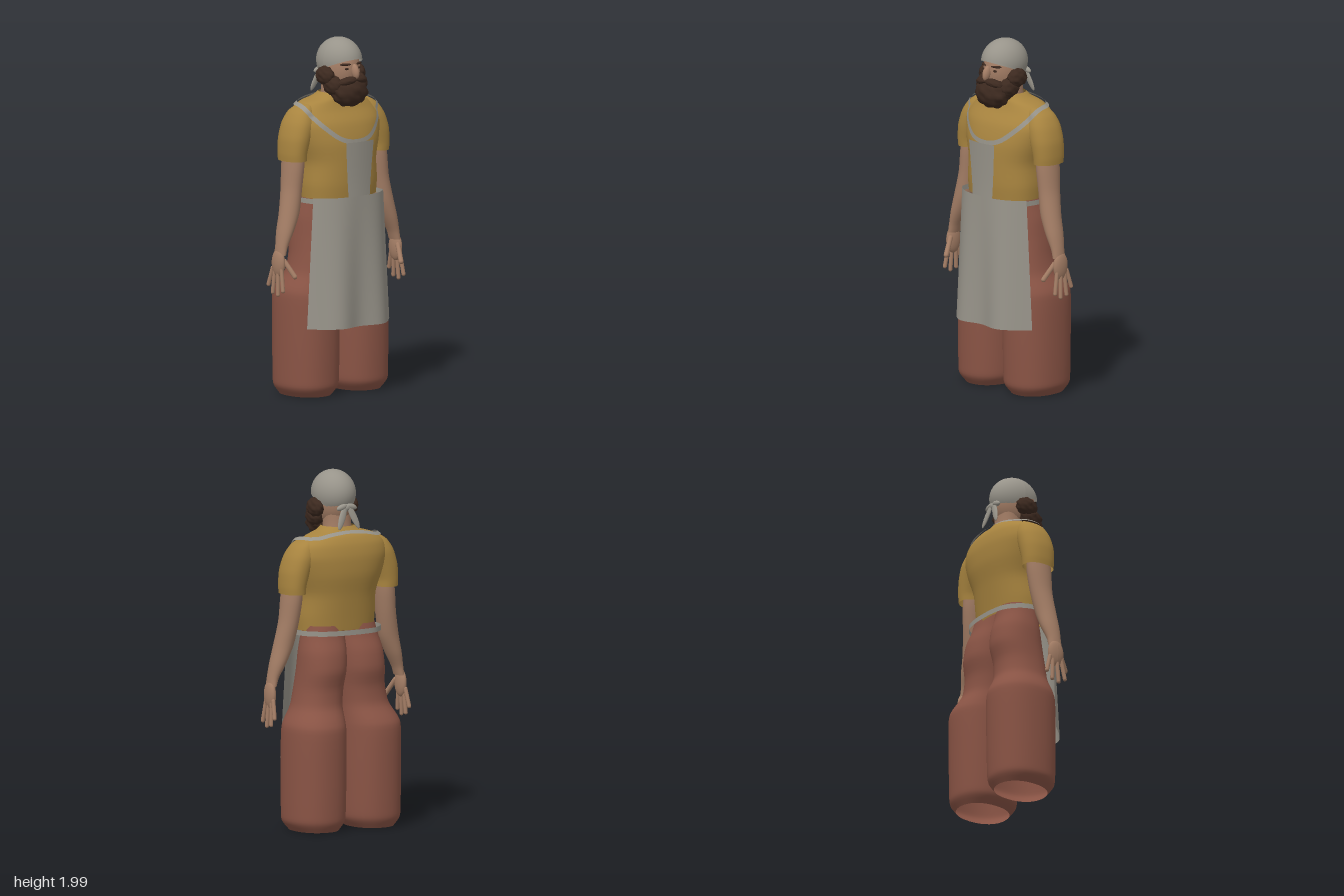
import * as THREE from 'three';

const V = (x, y, z) => new THREE.Vector3(x, y, z);

export function createModel() {
  const model = new THREE.Group();
  const mat = (name, color, open) => new THREE.MeshStandardMaterial({ name, color, side: open ? THREE.DoubleSide : THREE.FrontSide });
  const red = mat('brick red cloth', 0x8a5445, true);
  const ochre = mat('ochre cloth', 0xa8843f, true);
  const grey = mat('grey linen', 0x98948a, true);
  const skin = mat('skin', 0xa37d65);
  const brown = mat('dark brown hair', 0x3c291f);

  const add = (name, geo, material, parent = model) => {
    const m = new THREE.Mesh(geo, material);
    m.name = name;
    parent.add(m);
    return m;
  };
  const surface = (pos, idx) => {
    const g = new THREE.BufferGeometry();
    g.setAttribute('position', new THREE.Float32BufferAttribute(pos, 3));
    g.setIndex(idx);
    g.computeVertexNormals();
    return g;
  };

  // Smooth tube through rising cross-sections [y, centreX, radiusX, backZ, frontZ]
  const loft = (rows, s = 1, power = 2.2, n = 32) => {
    const a = new THREE.CatmullRomCurve3(rows.map(r => V(r[0], r[1], r[2])), false, 'catmullrom', 0.4);
    const b = new THREE.CatmullRomCurve3(rows.map(r => V(r[0], r[3], r[4])), false, 'catmullrom', 0.4);
    const steps = (rows.length - 1) * 4, pos = [], idx = [];
    const bend = c => Math.sign(c) * Math.abs(c) ** (2 / power);
    for (let j = 0; j <= steps; j++) {
      const p = a.getPoint(j / steps), q = b.getPoint(j / steps);
      for (let i = 0; i < n; i++) {
        const t = i / n * Math.PI * 2;
        pos.push(s * p.y + p.z * bend(Math.cos(t)), p.x, (q.y + q.z) / 2 + (q.z - q.y) / 2 * bend(Math.sin(t)));
        if (j === steps) continue;
        const k = j * n + i, r = j * n + (i + 1) % n;
        idx.push(k, k + n, r, r, k + n, r + n);
      }
    }
    return surface(pos, idx);
  };

  // Flat band along points, widened along one direction per point
  const ribbon = (pts, sides, width) => {
    const pos = [], idx = [];
    pts.forEach((p, i) => {
      for (const k of [-0.5, 0.5]) pos.push(...p.clone().addScaledVector(sides[i], k * width).toArray());
      if (i) idx.push(2 * i - 2, 2 * i, 2 * i - 1, 2 * i - 1, 2 * i, 2 * i + 1);
    });
    return surface(pos, idx);
  };

  // Ellipsoid, optionally lumpy
  const blob = (rx, ry, rz, lump = 0) => {
    const g = new THREE.SphereGeometry(1, 28, 20), p = g.attributes.position;
    for (let i = 0; i < p.count; i++) {
      const v = V(0, 0, 0).fromBufferAttribute(p, i);
      const k = 1 + lump * Math.sin(7 * v.x + 2) * Math.sin(8 * v.y) * Math.cos(6 * v.z);
      p.setXYZ(i, v.x * rx * k, v.y * ry * k, v.z * rz * k);
    }
    g.computeVertexNormals();
    return g;
  };
  const finger = (name, a, b, r, parent) => {
    const d = b.clone().sub(a);
    const m = add(name, new THREE.CapsuleGeometry(r, d.length(), 4, 10), skin, parent);
    m.position.copy(a).add(b).multiplyScalar(0.5);
    m.quaternion.setFromUnitVectors(V(0, 1, 0), d.normalize());
  };

  // Shirt body
  const shirtParts = [add('shirt', loft([
    [1.12, 0, 0.23, -0.13, 0.18], [1.2, 0, 0.235, -0.14, 0.187], [1.32, 0, 0.232, -0.157, 0.187],
    [1.43, 0, 0.265, -0.178, 0.18], [1.53, 0, 0.29, -0.18, 0.15], [1.6, 0, 0.268, -0.165, 0.105],
    [1.645, 0, 0.21, -0.14, 0.085], [1.67, 0, 0.13, -0.11, 0.08], [1.695, 0, 0.09, -0.09, 0.075],
  ], 1, 2.3, 48), ochre)];

  for (const s of [1, -1]) {
    const side = s > 0 ? 'left' : 'right';

    // Baggy trouser leg, open at the bottom
    add(side + 'TrouserLeg', loft([
      [0.01, 0.18, 0.125, -0.2, 0.11], [0.06, 0.18, 0.162, -0.228, 0.145], [0.13, 0.179, 0.168, -0.233, 0.15],
      [0.35, 0.178, 0.17, -0.237, 0.153], [0.56, 0.178, 0.168, -0.238, 0.15], [0.62, 0.172, 0.16, -0.22, 0.14],
      [0.7, 0.15, 0.138, -0.175, 0.125], [0.8, 0.135, 0.132, -0.167, 0.12], [0.9, 0.125, 0.132, -0.185, 0.11],
      [1.0, 0.118, 0.13, -0.172, 0.1], [1.08, 0.108, 0.122, -0.142, 0.095], [1.15, 0.1, 0.115, -0.125, 0.095],
    ], s), red);

    // Short sleeve
    shirtParts.push(add(side + 'Sleeve', loft([
      [1.335, 0.3, 0.064, -0.108, 0.078], [1.38, 0.3, 0.066, -0.112, 0.082], [1.46, 0.285, 0.075, -0.118, 0.088],
      [1.54, 0.258, 0.077, -0.118, 0.082], [1.6, 0.235, 0.06, -0.1, 0.06], [1.635, 0.21, 0.03, -0.07, 0.03],
      [1.645, 0.2, 0.002, -0.03, -0.02],
    ], s), ochre));

    // Bare arm and hand
    const arm = new THREE.Group();
    arm.name = side + 'Arm';
    model.add(arm);
    add('forearm', loft([
      [0.82, 0.418, 0.024, -0.025, 0.06], [0.87, 0.406, 0.03, -0.025, 0.06], [0.95, 0.377, 0.045, -0.042, 0.068],
      [1.05, 0.343, 0.056, -0.052, 0.068], [1.18, 0.317, 0.055, -0.07, 0.062], [1.3, 0.303, 0.057, -0.082, 0.065],
      [1.4, 0.295, 0.055, -0.08, 0.06],
    ], s, 2, 24), skin, arm);
    add('palm', blob(0.025, 0.078, 0.05), skin, arm).position.set(s * 0.427, 0.775, 0.015);
    const reach = [[0.046, 0.068, 0.625], [0.018, 0.026, 0.6], [-0.008, -0.018, 0.61], [-0.028, -0.054, 0.65]];
    for (const [z0, z1, y1] of reach)
      finger('finger', V(s * 0.432, 0.745, z0), V(s * 0.44, y1, z1), 0.0115, arm);
    finger('thumb', V(s * 0.415, 0.79, 0.05), V(s * 0.388, 0.705, 0.108), 0.014, arm);

    // Sideburns, cheeks and moustache
    add(side + 'Sideburn', blob(0.04, 0.052, 0.066, 0.12), brown).position.set(s * 0.112, 1.797, 0.045);
    add(side + 'CheekBeard', blob(0.045, 0.055, 0.065, 0.1), brown).position.set(s * 0.09, 1.745, 0.085);
    const stache = add(side + 'Moustache', blob(0.055, 0.022, 0.03, 0.08), brown);
    stache.position.set(s * 0.045, 1.772, 0.16);
    stache.rotation.set(0, s * 0.35, -s * 0.2);

    // Brow and eye
    const brow = add(side + 'Eyebrow', blob(0.032, 0.007, 0.012), brown);
    brow.position.set(s * 0.047, 1.862, 0.142);
    brow.rotation.y = s * 0.45;
    add(side + 'Eye', blob(0.013, 0.007, 0.008), brown).position.set(s * 0.042, 1.838, 0.148);

    // Headscarf tail
    const tail = add(side + 'ScarfTail', blob(0.02, 0.075, 0.009), grey);
    tail.position.set(s * 0.036, 1.752, -0.117);
    tail.rotation.set(0.18, 0, s * 0.4);
    const bow = add(side + 'ScarfBow', blob(0.034, 0.016, 0.014), grey);
    bow.position.set(s * 0.032, 1.805, -0.105);
    bow.rotation.z = -s * 0.3;
  }

  // Neck, head, nose and beard
  add('neck', loft([[1.6, 0, 0.09, -0.09, 0.07], [1.7, 0, 0.078, -0.075, 0.07], [1.82, 0, 0.08, -0.07, 0.07]]), skin);
  add('head', blob(0.104, 0.15, 0.128), skin).position.set(0, 1.83, 0.035);
  const nose = add('nose', blob(0.02, 0.042, 0.026), skin);
  nose.position.set(0, 1.822, 0.17);
  nose.rotation.x = -0.3;
  add('beard', blob(0.112, 0.088, 0.083, 0.1), brown).position.set(0, 1.71, 0.121);

  // Headscarf, its rim sloping down towards the back
  const cap = new THREE.SphereGeometry(1, 40, 16, 0, Math.PI * 2, 0, Math.PI / 2), cp = cap.attributes.position;
  for (let i = 0; i < cp.count; i++) {
    const az = Math.atan2(cp.getX(i), cp.getZ(i));
    const rim = Math.acos((1.835 + 0.055 * Math.cos(az) - 1.87) / 0.13);
    const th = Math.acos(Math.min(1, cp.getY(i))) / (Math.PI / 2) * rim;
    cp.setXYZ(i, 0.118 * Math.sin(th) * Math.sin(az), 1.87 + 0.13 * Math.cos(th), 0.034 + 0.141 * Math.sin(th) * Math.cos(az));
  }
  cap.computeVertexNormals();
  add('headscarf', cap, grey);
  add('scarfKnot', blob(0.022, 0.02, 0.018), grey).position.set(0, 1.8, -0.1);

  // Apron skirt and bib: planes bent by a rule of across (-1..1) and down (0..1)
  const panel = (rule) => {
    const g = new THREE.PlaneGeometry(2, 1, 32, 12), p = g.attributes.position;
    for (let i = 0; i < p.count; i++) p.setXYZ(i, ...rule(p.getX(i), 0.5 - p.getY(i)));
    g.computeVertexNormals();
    return g;
  };
  add('apronSkirt', panel((s, t) => [
    s * (0.255 + 0.045 * t), 1.13 - 0.73 * t,
    0.11 + (0.1 + 0.003 * t) * (1 - Math.abs(s) ** 3) + 0.032 * t * Math.sin(Math.PI * s) ** 2,
  ]), grey);
  add('apronBib', panel((s, t) => {
    const x = s * (0.1 - 0.023 * t);
    return [x, 1.435 - 0.31 * t, 0.222 - 0.012 * Math.sin(Math.PI * t / 2) - 1.2 * x * x];
  }), grey);

  // Waist tie round the back
  const half = [[0.255, 0.11], [0.265, 0.03], [0.245, -0.07], [0.17, -0.145], [0.08, -0.168]];
  const loop = [...half, [0, -0.172], ...half.slice().reverse().map(([x, z]) => [-x, z])];
  const tie = new THREE.CatmullRomCurve3(loop.map(([x, z]) => V(x, 1.112, z))).getPoints(60);
  add('waistTie', ribbon(tie, tie.map(() => V(0, 1, 0)), 0.028), grey);

  // Neck strap laid onto the shirt
  const strapHalf = [[0.1, 1.452, 0.2], [0.19, 1.515, 0.16], [0.235, 1.58, 0.08], [0.25, 1.63, 0], [0.24, 1.65, -0.07], [0.19, 1.655, -0.12], [0.1, 1.665, -0.13]];
  const strapPts = [[0, 1.435, 0.21], ...strapHalf, [0, 1.67, -0.13], ...strapHalf.slice().reverse().map(([x, y, z]) => [-x, y, z])];
  const path = new THREE.CatmullRomCurve3(strapPts.map(p => V(...p)), true).getPoints(120);
  const ray = new THREE.Raycaster();
  model.updateMatrixWorld(true);
  const outs = [];
  const laid = path.map(p => {
    const core = V(p.x * 0.6, Math.min(p.y - 0.02, 1.5), 0), out = p.clone().sub(core).normalize();
    outs.push(out);
    ray.set(p.clone().addScaledVector(out, 0.3), out.clone().negate());
    const hit = ray.intersectObjects(shirtParts)[0];
    return (hit ? hit.point : p.clone()).addScaledVector(out, 0.01);
  });
  const across = laid.map((p, i) => {
    const n = laid.length - 1;
    const along = laid[(i + 1) % n].clone().sub(laid[(i - 1 + n) % n]);
    return along.cross(outs[i]).normalize();
  });
  add('neckStrap', ribbon(laid, across, 0.026), grey);

  return model;
}
